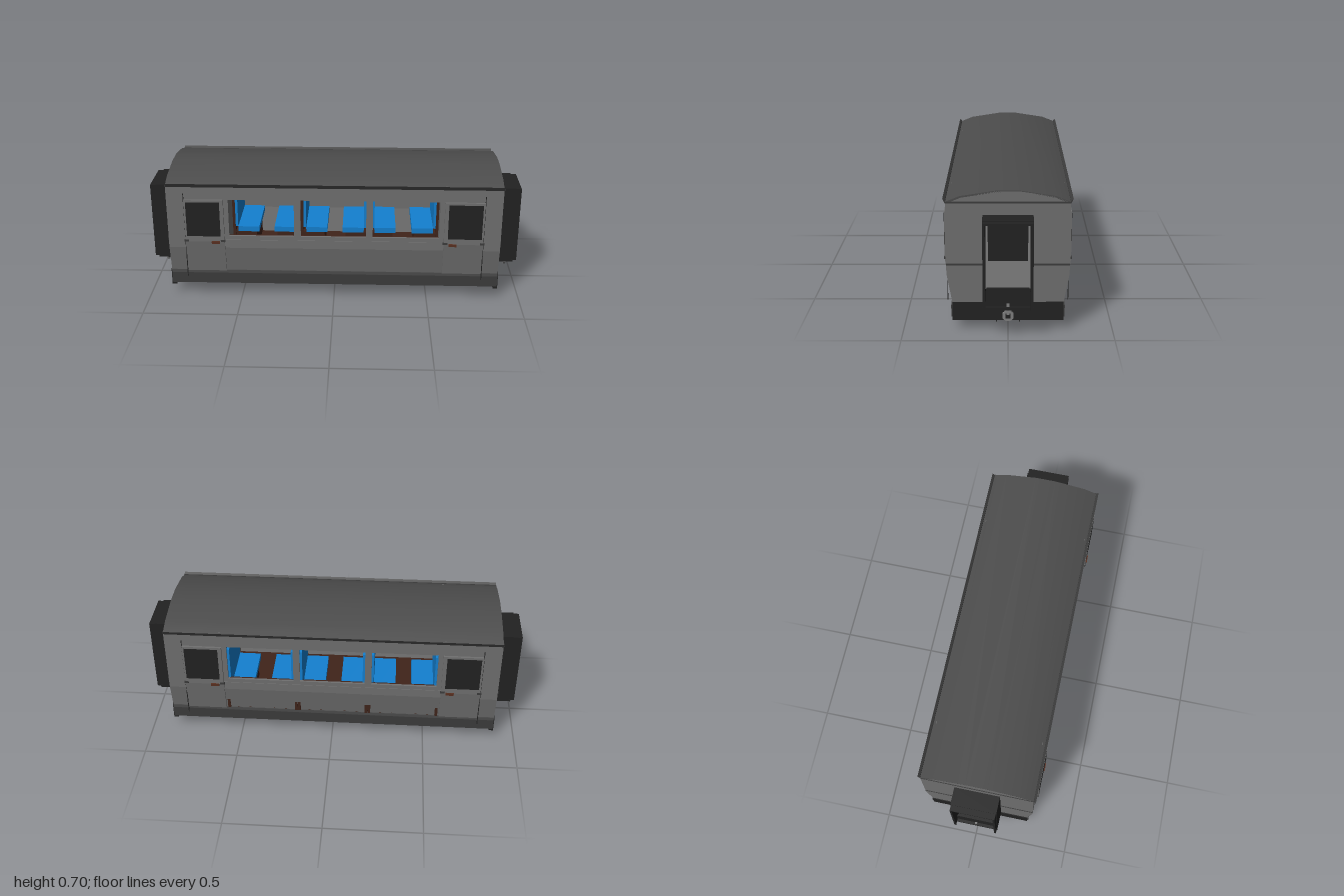
import * as THREE from 'three';
import { toCreasedNormals } from 'three/addons/utils/BufferGeometryUtils.js';

const mat = (name, color) => Object.assign(new THREE.MeshStandardMaterial({ color }), { name });

export function createModel() {
  const body = mat('body grey', 0x707070);
  const roofGrey = mat('roof grey', 0x4c4c4c);
  const frameGrey = mat('frame grey', 0x3c3c3c);
  const black = mat('black', 0x222222);
  const steel = mat('steel', 0x808080);
  const blue = mat('seat blue', 0x1480d0);
  const wood = mat('dark wood', 0x40241a);
  const brass = mat('handle brown', 0x5a3020);

  const coach = new THREE.Group();
  coach.name = 'railwayCoach';

  const add = (name, geometry, material, parent = coach) => {
    const m = new THREE.Mesh(geometry, material);
    m.name = name;
    parent.add(m);
    return m;
  };
  // Box given by its limits
  const box = (name, x0, x1, y0, y1, z0, z1, material, parent) => {
    const g = new THREE.BoxGeometry(Math.abs(x1 - x0), y1 - y0, Math.abs(z1 - z0));
    g.translate((x0 + x1) / 2, (y0 + y1) / 2, (z0 + z1) / 2);
    return add(name, g, material, parent);
  };
  // Cross-section of [z, y] points swept from x0 to x1
  const prism = (name, points, x0, x1, material, parent, smooth = false) => {
    const shape = new THREE.Shape(points.map(([z, y]) => new THREE.Vector2(z, y)));
    let g = new THREE.ExtrudeGeometry(shape, { depth: Math.abs(x1 - x0), bevelEnabled: false });
    g.rotateY(-Math.PI / 2).translate(Math.max(x0, x1), 0, 0);
    if (smooth) g = toCreasedNormals(g, 0.5);
    return add(name, g, material, parent);
  };
  const cylinder = (name, r, h, axis, x, y, z, material, parent, sides = 8) => {
    const g = new THREE.CylinderGeometry(r, r, h, sides);
    g.rotateY(Math.PI / sides);
    if (axis === 'x') g.rotateZ(Math.PI / 2);
    if (axis === 'z') g.rotateX(Math.PI / 2);
    g.translate(x, y, z);
    return add(name, toCreasedNormals(g, 0.5), material, parent);
  };

  const L = 0.88;

  // Roof shell
  const arch = [[0.292, 0.643], [0.222, 0.671], [0.055, 0.697], [-0.055, 0.697], [-0.222, 0.671], [-0.292, 0.643]];
  const inner = arch.map(([z, y]) => [z * 0.98, y - 0.008]).reverse();
  prism('roof', [...arch, ...inner], -L, L, roofGrey, coach, true);

  // End walls
  const end = [[-0.264, 0.145], [-0.29, 0.29], [-0.29, 0.64], [-0.222, 0.667], [-0.055, 0.693],
    [0.055, 0.693], [0.222, 0.667], [0.29, 0.64], [0.29, 0.29], [0.264, 0.145]];

  // Side walls with open windows, doors and gutters
  const windows = [[-0.555, -0.21], [-0.175, 0.17], [0.205, 0.555]];
  for (const s of [1, -1]) {
    const side = new THREE.Group();
    side.name = s > 0 ? 'frontSide' : 'backSide';
    coach.add(side);
    const sect = (pts) => pts.map(([z, y]) => [z * s, y]);
    prism('lowerPanel', sect([[0.264, 0.145], [0.29, 0.29], [0.29, 0.36], [0.278, 0.36], [0.278, 0.29], [0.252, 0.145]]), -L, L, body, side);
    box('upperPanel', -L, L, 0.567, 0.643, s * 0.278, s * 0.29, body, side);
    const edges = [-L, ...windows.flat(), L];
    for (let i = 0; i < edges.length; i += 2)
      box('windowPillar', edges[i], edges[i + 1], 0.36, 0.567, s * 0.278, s * 0.29, body, side);
    box('windowSill', -0.57, 0.57, 0.352, 0.36, s * 0.27, s * 0.278, wood, side);
    prism('gutter', sect([[0.288, 0.636], [0.292, 0.636], [0.302, 0.657], [0.29, 0.648]]), -L, L, frameGrey, side);
    box('waistBead', -0.58, 0.58, 0.33, 0.338, s * 0.288, s * 0.293, body, side);

    // Solebar with a stepped lower edge
    box('solebar', -L, L, 0.07, 0.13, s * 0.25, s * 0.27, frameGrey, side);
    box('solebarTop', -L, L, 0.13, 0.147, s * 0.24, s * 0.268, roofGrey, side);

    for (const e of [1, -1]) {
      const door = new THREE.Group();
      door.name = 'door';
      side.add(door);
      prism('doorPanel', sect([[0.262, 0.148], [0.277, 0.148], [0.302, 0.33], [0.302, 0.567], [0.288, 0.567], [0.288, 0.29]]), e * 0.58, e * 0.788, body, door);
      box('doorWindow', e * 0.60, e * 0.778, 0.362, 0.555, s * 0.301, s * 0.304, black, door);
      box('doorHandle', e * 0.605, e * 0.648, 0.32, 0.334, s * 0.30, s * 0.309, brass, door);
      box('doorHinge', e * 0.575, e * 0.60, 0.33, 0.342, s * 0.298, s * 0.305, frameGrey, door);
      box('doorHinge', e * 0.77, e * 0.793, 0.33, 0.342, s * 0.298, s * 0.305, frameGrey, door);
      box('doorEdge', e * 0.787, e * 0.791, 0.12, 0.6, s * 0.289, s * 0.292, black, door);
    }
  }

  // Interior floor and partitions
  box('floor', -L + 0.01, L - 0.01, 0.12, 0.15, -0.25, 0.25, wood);
  box('underfloor', -L, L, 0.105, 0.12, -0.255, 0.255, black);
  for (const e of [1, -1]) box('partition', e * 0.58, e * 0.592, 0.15, 0.65, -0.277, 0.277, body);

  // Facing benches in each window bay
  for (const [x0, x1] of windows) {
    for (const [x, d] of [[x0, 1], [x1, -1]]) {
      const bench = new THREE.Group();
      bench.name = 'bench';
      coach.add(bench);
      box('benchBoard', x - d * 0.017, x - d * 0.002, 0.15, 0.55, -0.275, 0.03, wood, bench);
      box('backCushion', x - d * 0.002, x + d * 0.012, 0.3, 0.54, -0.275, 0.03, blue, bench);
      box('seatCushion', x + d * 0.012, x + d * 0.13, 0.27, 0.3, -0.275, 0.03, blue, bench);
      box('seatBase', x - d * 0.002, x + d * 0.115, 0.15, 0.27, -0.265, 0.025, wood, bench);
    }
  }

  // Equipment box under the middle
  box('underfloorBox', -0.4, 0.4, 0.042, 0.106, -0.185, 0.185, black);

  for (const e of [1, -1]) {
    // Coach end
    const coachEnd = new THREE.Group();
    coachEnd.name = 'coachEnd';
    coach.add(coachEnd);
    prism('endWall', end, e * (L - 0.012), e * L, body, coachEnd);
    box('headstock', e * (L - 0.02), e * (L + 0.004), 0.055, 0.147, -0.264, 0.264, black, coachEnd);
    for (const y of [0.332, 0.636])
      box('endBead', e * L, e * (L + 0.003), y, y + 0.008, -0.29, 0.29, frameGrey, coachEnd);

    // Open gangway with the end door inside
    const gangway = new THREE.Group();
    gangway.name = 'gangway';
    coachEnd.add(gangway);
    for (const s of [1, -1]) {
      box('gangwaySide', e * L, e * 0.97, 0.147, 0.58, s * 0.105, s * 0.118, black, gangway);
      box('gangwayLip', e * 0.97, e, 0.155, 0.576, s * 0.105, s * 0.115, black, gangway);
    }
    box('gangwayTop', e * L, e * 0.97, 0.568, 0.58, -0.118, 0.118, black, gangway);
    box('gangwayTopLip', e * 0.97, e, 0.567, 0.576, -0.115, 0.115, black, gangway);
    box('gangwayFloor', e * L, e * 0.98, 0.147, 0.16, -0.118, 0.118, black, gangway);
    prism('fallPlate', [[-0.105, 0.15], [-0.105, 0.225], [-0.1, 0.25], [0.1, 0.25], [0.105, 0.225], [0.105, 0.15]], e * 0.955, e * 0.965, black, gangway);
    box('endDoor', e * L, e * (L + 0.006), 0.16, 0.567, -0.105, 0.105, steel, gangway);
    box('endDoorWindow', e * (L + 0.005), e * (L + 0.009), 0.357, 0.555, -0.094, 0.094, black, gangway);

    // Coupling
    const coupling = new THREE.Group();
    coupling.name = 'coupling';
    coachEnd.add(coupling);
    box('couplingPlate', e * 0.88, e * 0.892, 0.095, 0.134, -0.038, 0.038, black, coupling);
    cylinder('couplingShaft', 0.012, 0.07, 'x', e * 0.92, 0.108, 0, steel, coupling);
    cylinder('couplingHead', 0.028, 0.012, 'x', e * 0.952, 0.108, 0, steel, coupling);
    box('couplingFace', e * 0.957, e * 0.961, 0.096, 0.12, -0.012, 0.012, black, coupling);
    box('couplingHook', e * 0.925, e * 0.937, 0.11, 0.145, -0.016, 0.016, steel, coupling);
    box('couplingLever', e * 0.966, e * 0.974, 0.12, 0.175, -0.006, 0.006, steel, coupling);

    // Bogie
    const bogie = new THREE.Group();
    bogie.name = 'bogie';
    coach.add(bogie);
    for (const s of [1, -1]) {
      box('bogieSideFrame', e * 0.5, e * 0.82, 0.055, 0.078, s * 0.088, s * 0.103, black, bogie);
      box('bogieSpring', e * 0.605, e * 0.715, 0.032, 0.055, s * 0.088, s * 0.103, frameGrey, bogie);
    }
    box('bogieBolster', e * 0.62, e * 0.7, 0.055, 0.106, -0.1, 0.1, black, bogie);
    for (const x of [0.55, 0.77]) {
      cylinder('axle', 0.01, 0.2, 'z', e * x, 0.044, 0, frameGrey, bogie);
      for (const s of [1, -1]) {
        cylinder('wheel', 0.036, 0.026, 'z', e * x, 0.044, s * 0.067, frameGrey, bogie, 12);
        cylinder('wheelFlange', 0.044, 0.005, 'z', e * x, 0.044, s * 0.056, frameGrey, bogie, 12);
        box('axleBox', e * x - 0.022, e * x + 0.022, 0.028, 0.06, s * 0.084, s * 0.105, black, bogie);
      }
    }
  }
  return coach;
}
